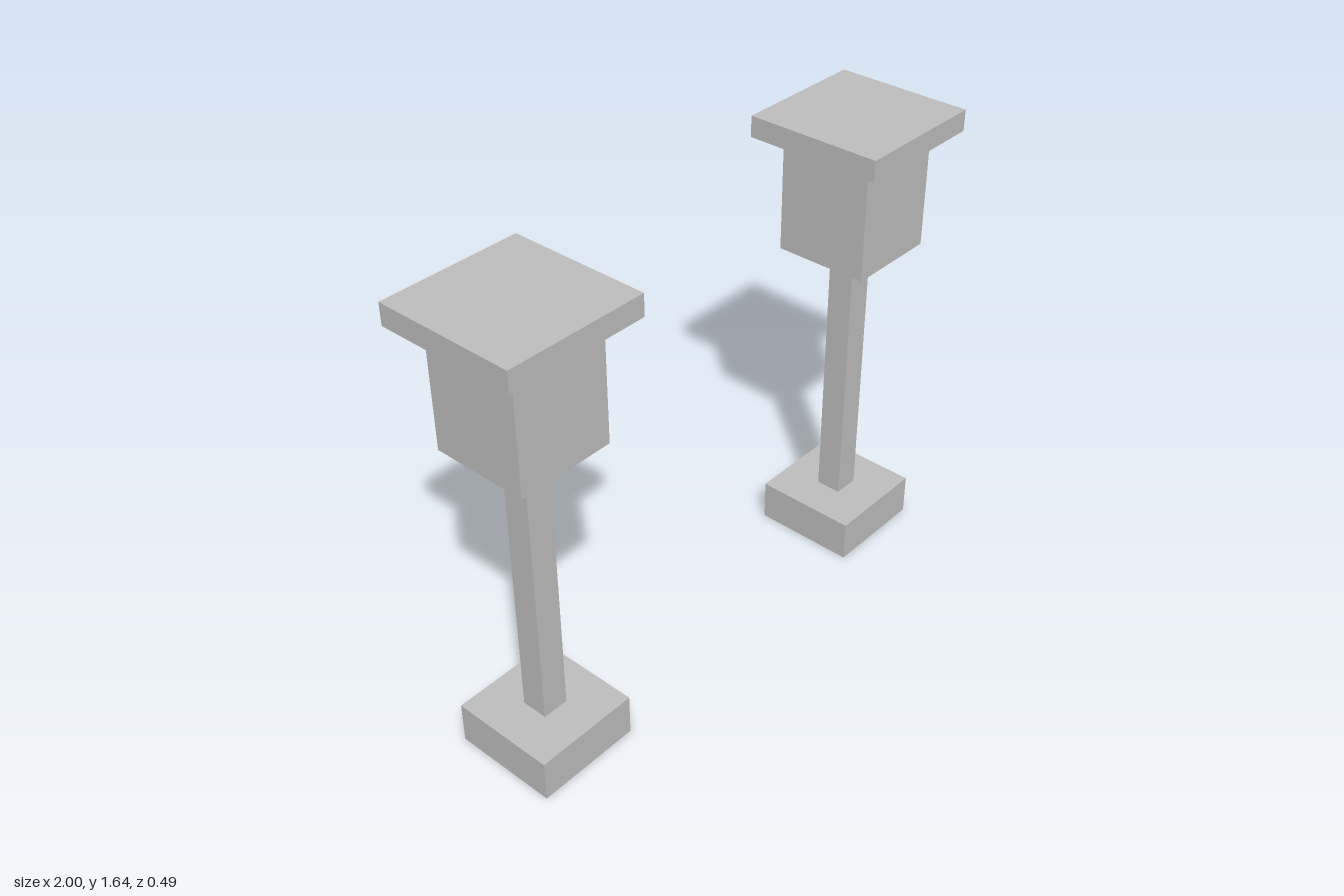
import * as THREE from 'three';

const grey = new THREE.MeshStandardMaterial({ color: 0xbfbfbf });
grey.name = 'light grey';

// Square block centred on the post axis, spanning bottom..top
function block(name, width, bottom, top) {
  const mesh = new THREE.Mesh(new THREE.BoxGeometry(width, top - bottom, width), grey);
  mesh.name = name;
  mesh.position.y = (bottom + top) / 2;
  return mesh;
}

// One lamp post: footing, pole, lantern box and overhanging cap
function lampPost(name, x) {
  const post = new THREE.Group();
  post.name = name;
  post.position.x = x;
  post.add(
    block('base', 0.375, 0, 0.15),
    block('pole', 0.094, 0.15, 1.155),
    block('lanternBox', 0.337, 1.155, 1.566),
    block('cap', 0.488, 1.566, 1.64),
  );
  return post;
}

export function createModel() {
  const model = new THREE.Group();
  model.name = 'lampPostPair';
  model.add(lampPost('leftPost', 0.756), lampPost('rightPost', -0.756));
  return model;
}
